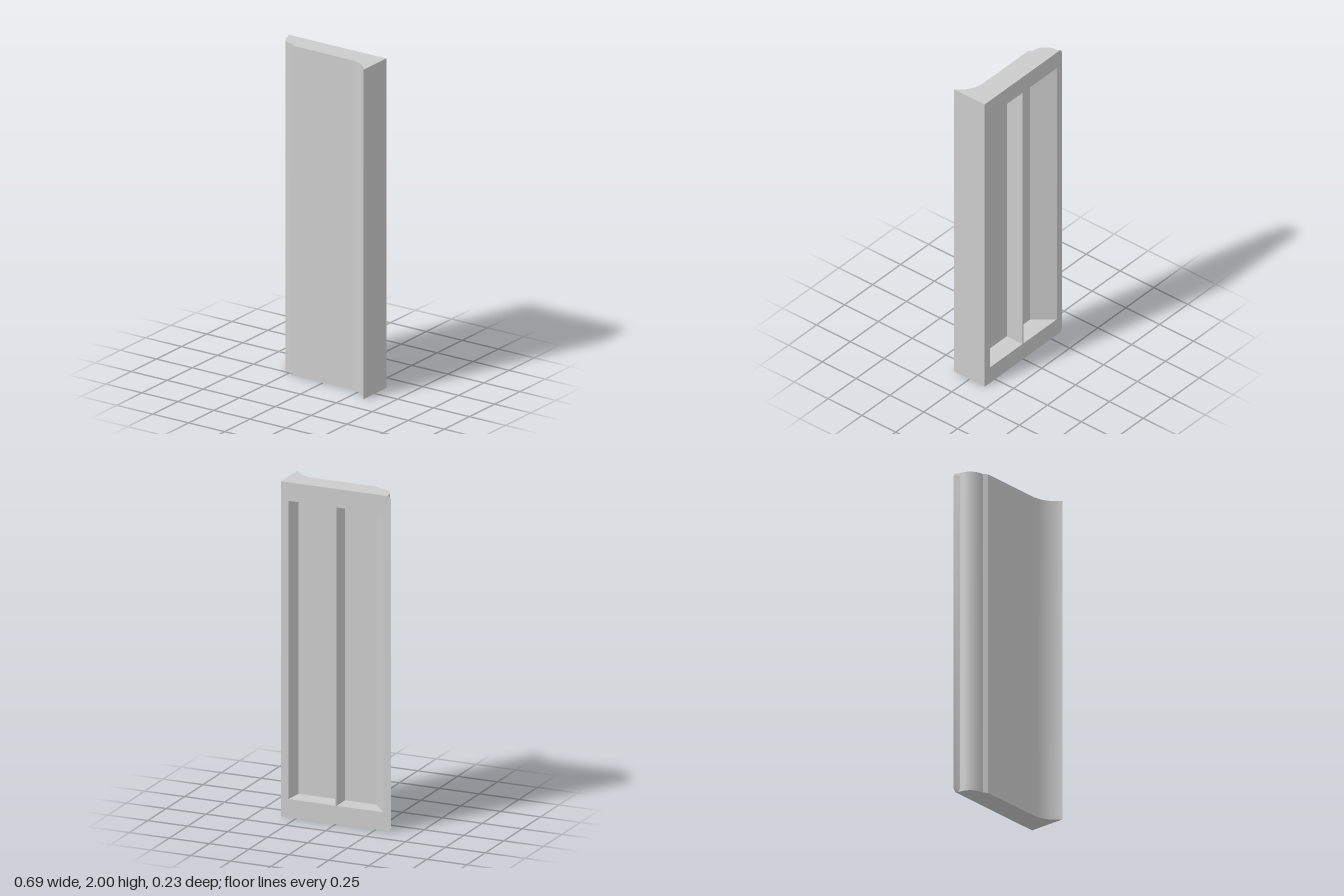
import * as THREE from 'three';
import { mergeGeometries, toCreasedNormals } from 'three/addons/utils/BufferGeometryUtils.js';

const H = 2, BACK = -0.113, FLOOR = 0.003, Y0 = 0.11, Y1 = 1.89;
const material = new THREE.MeshStandardMaterial({ color: 0xcccccc, side: THREE.DoubleSide });

// Upright wall following [x, z] points from y0 to y1
function wall(points, y0, y1) {
  const pos = [];
  for (let i = 0; i + 1 < points.length; i++) {
    const [ax, az] = points[i], [bx, bz] = points[i + 1];
    pos.push(ax, y0, az, bx, y0, bz, bx, y1, bz, ax, y0, az, bx, y1, bz, ax, y1, az);
  }
  const g = new THREE.BufferGeometry();
  g.setAttribute('position', new THREE.Float32BufferAttribute(pos, 3));
  g.computeVertexNormals();
  return g;
}

const toShape = (points, s) => new THREE.Shape(points.map(([x, z]) => new THREE.Vector2(x, s * z)));

function plain(g) {
  const out = g.toNonIndexed();
  out.deleteAttribute('uv');
  return out;
}

// Horizontal face at height y, looking up or down
function level(points, y, up) {
  const s = up ? -1 : 1;
  return plain(new THREE.ShapeGeometry(toShape(points, s)).rotateX(s * Math.PI / 2).translate(0, y, 0));
}

function arc(cx, cz, r, a0, a1, n) {
  return Array.from({ length: n + 1 }, (_, i) => {
    const a = a0 + (a1 - a0) * i / n;
    return [cx + r * Math.cos(a), cz + r * Math.sin(a)];
  });
}

function mesh(name, parts) {
  const m = new THREE.Mesh(toCreasedNormals(mergeGeometries(parts), 0.5), material);
  m.name = name;
  return m;
}

export function createModel() {
  const group = new THREE.Group();
  group.name = 'mouldedPanel';

  // Outer profile: rounded nose, small step, flat face, flared cove
  const outline = [
    [-0.333, BACK], [-0.32, -0.1],
    ...arc(-0.225, -0.092, 0.095, Math.PI, Math.PI / 2, 16),
    [-0.205, 0.023],
    ...arc(0.19, 0.198, 0.175, -Math.PI / 2, -0.507, 16),
    [0.343, BACK],
  ];
  group.add(mesh('mouldedShell', [wall(outline, 0, H), level(outline, H, true), level(outline, 0, false)]));

  // Two hollow bays with a thin rib between them; the outer one has a sloped wall
  const bays = [
    [[0.297, BACK], [0.289, FLOOR], [0.005, FLOOR], [0.005, BACK]],
    [[-0.005, BACK], [-0.005, FLOOR], [-0.2, FLOOR], [-0.3, BACK]],
  ];
  bays.forEach((bay, i) => group.add(mesh(i ? 'slopedBay' : 'squareBay',
    [wall(bay, Y0, Y1), level(bay, Y0, true), level(bay, Y1, false)])));

  // Back frame with an opening for each bay, mirrored because it is turned round
  const rect = (a, b, y0, y1) => toShape([[-a, y0], [-b, y0], [-b, y1], [-a, y1]], 1);
  const frame = rect(-0.333, 0.343, 0, H);
  frame.holes = bays.map((b) => rect(b[0][0], b[3][0], Y0, Y1));
  group.add(mesh('backFrameAndRib',
    [plain(new THREE.ShapeGeometry(frame).rotateY(Math.PI).translate(0, 0, BACK))]));

  // Slanted side lip with bevelled ends
  const lipPoints = [[-0.345, BACK], [-0.32, -0.088], [-0.32, -0.1], [-0.333, BACK]];
  const lip = new THREE.ExtrudeGeometry(toShape(lipPoints, -1), { depth: H, bevelEnabled: false });
  lip.rotateX(-Math.PI / 2);
  const p = lip.attributes.position;
  for (let i = 0; i < p.count; i++) {
    if (p.getZ(i) - p.getX(i) > 0.226) p.setY(i, 1 + (p.getY(i) - 1) * 0.98);
  }
  lip.deleteAttribute('uv');
  group.add(mesh('sideLip', [lip]));

  return group;
}
